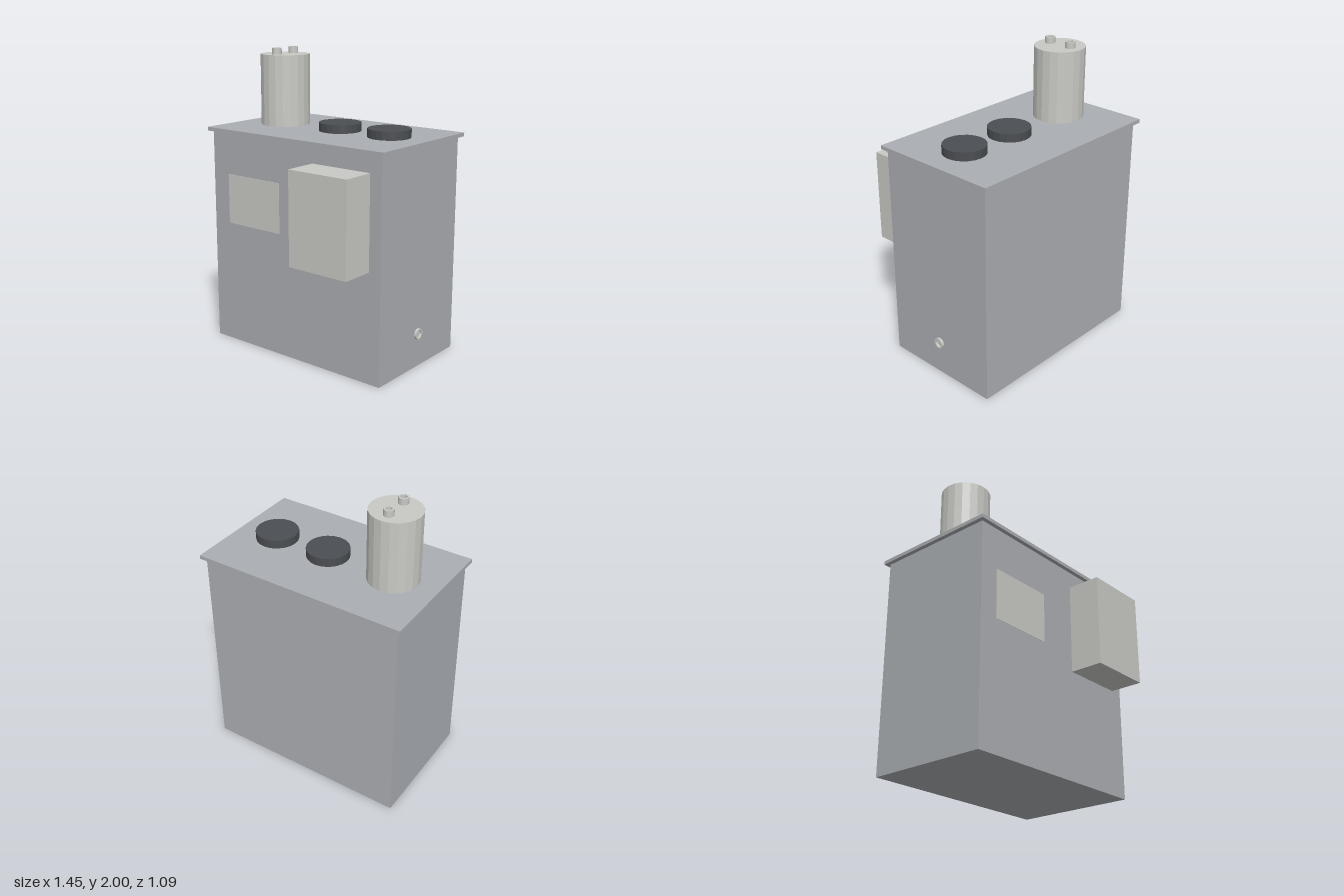
import * as THREE from 'three';

export function createModel() {
  const group = new THREE.Group();
  const material = (name, color) => {
    const m = new THREE.MeshStandardMaterial({ color, flatShading: true });
    m.name = name;
    return m;
  };
  const grey = material('cabinet grey', 0xabaeb3);
  const pale = material('pale grey', 0xc9c9c5);
  const dark = material('dark grey', 0x4b4e52);

  const add = (name, geometry, mat, x, y, z) => {
    const mesh = new THREE.Mesh(geometry, mat);
    mesh.name = name;
    mesh.position.set(x, y, z);
    group.add(mesh);
    return mesh;
  };
  // Box given by its lower and upper corners
  const box = (name, mat, [x0, y0, z0], [x1, y1, z1]) =>
    add(name, new THREE.BoxGeometry(x1 - x0, y1 - y0, z1 - z0), mat,
      (x0 + x1) / 2, (y0 + y1) / 2, (z0 + z1) / 2);
  // Upright cylinder standing on y
  const drum = (name, mat, r, h, x, y, z) =>
    add(name, new THREE.CylinderGeometry(r, r, h, 20), mat, x, y + h / 2, z);
  // Short tube with a blind hole, rising along y
  const socket = (outer, inner, h, depth) => new THREE.LatheGeometry([
    [outer, 0], [outer, h], [inner, h], [inner, h - depth], [0, h - depth],
  ].map(([r, y]) => new THREE.Vector2(r, y)), 16);

  // Cabinet with an overhanging lid
  box('cabinet', grey, [-0.697, 0, -0.515], [0.697, 1.458, 0.32]);
  box('lid', grey, [-0.725, 1.458, -0.545], [0.725, 1.483, 0.348]);

  // Front fittings
  box('frontPlate', pale, [-0.563, 0.84, 0.319], [-0.113, 1.177, 0.323]);
  box('controlBox', pale, [0.167, 0.73, 0.32], [0.61, 1.343, 0.545]);

  // Round caps on the lid
  for (const x of [0.054, 0.447]) drum('cap', dark, 0.14, 0.056, x, 1.483, -0.1);

  // Tall canister with two connectors
  drum('canister', pale, 0.167, 0.475, -0.422, 1.483, -0.1);
  for (const z of [-0.017, -0.184]) {
    add('connector', socket(0.033, 0.02, 0.042, 0.03), pale, -0.422, 1.958, z);
  }

  // Drain port on the left side
  const drain = add('drainPort', socket(0.037, 0.026, 0.018, 0.015), pale, 0.695, 0.226, -0.096);
  drain.rotation.z = -Math.PI / 2;

  return group;
}
